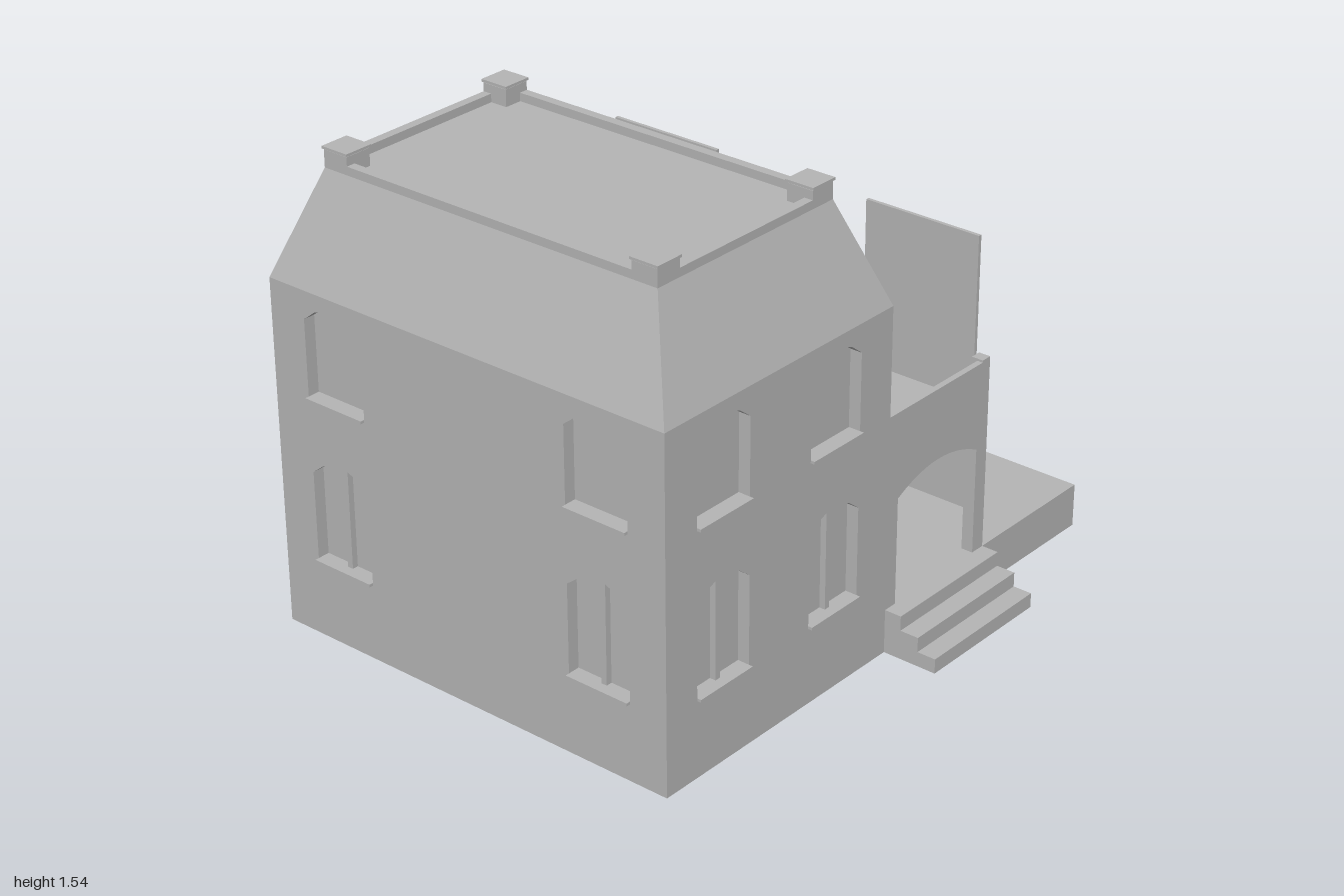
import * as THREE from 'three';

const stone = new THREE.MeshStandardMaterial({ color: 0xb4b4b4 });
stone.name = 'grey stone';

const T = 0.04; // wall thickness
const X0 = -0.83, X1 = 0.655, Z0 = -0.01, Z1 = 0.98, ZB = -0.5;
const EAVES = 1.14, TERRACE = 0.64, FLOOR = 0.145;

// Box given by its two extreme corners
function block(parent, name, x0, x1, y0, y1, z0, z1) {
  const mesh = new THREE.Mesh(new THREE.BoxGeometry(x1 - x0, y1 - y0, z1 - z0), stone);
  mesh.position.set((x0 + x1) / 2, (y0 + y1) / 2, (z0 + z1) / 2);
  mesh.name = name;
  parent.add(mesh);
  return mesh;
}

// Opening with a shallow arched head
function archPath(o) {
  const path = new THREE.Path();
  path.moveTo(o.u - o.w / 2, o.y0);
  path.lineTo(o.u + o.w / 2, o.y0);
  for (let i = 0; i <= o.seg; i++) {
    const s = 1 - (2 * i) / o.seg;
    path.lineTo(o.u + (s * o.w) / 2, o.y1 - o.rise * s * s);
  }
  path.closePath();
  return path;
}

// Wall with openings; its outer face lies on local z = 0 and u runs along local x
function wall(parent, name, u0, u1, h, openings, x, z, angle) {
  const group = new THREE.Group();
  group.name = name;
  const shape = new THREE.Shape([[u0, 0], [u1, 0], [u1, h], [u0, h]].map((p) => new THREE.Vector2(...p)));
  openings.forEach((o) => shape.holes.push(archPath(o)));
  const geo = new THREE.ExtrudeGeometry(shape, { depth: T, bevelEnabled: false });
  geo.translate(0, 0, -T);
  const mesh = new THREE.Mesh(geo, stone);
  mesh.name = name + ' masonry';
  group.add(mesh);
  for (const o of openings) {
    if (o.sill) block(group, 'window sill', o.u - o.w / 2, o.u + o.w / 2, o.y0 - 0.004, o.y0 + 0.005, -T, o.sill);
    if (o.mullion) block(group, 'window mullion', o.u - 0.01, o.u + 0.01, o.y0, o.y1 - 0.001, -T, -0.02);
  }
  group.position.set(x, 0, z);
  group.rotation.y = angle;
  parent.add(group);
}

const upper = (u) => ({ u, w: 0.225, y0: 0.795, y1: 1.103, rise: 0.055, seg: 5, sill: 0.014 });
const lower = (u) => ({ u, w: 0.225, y0: 0.257, y1: 0.607, rise: 0.055, seg: 5, sill: 0.014, mullion: true });
const plain = (u, w, y0, y1, rise, seg) => ({ u, w, y0, y1, rise, seg });

export function createModel() {
  const model = new THREE.Group();
  model.name = 'townhouse';
  const H = Math.PI / 2;

  // Main house walls around a core that closes the window recesses
  const house = new THREE.Group();
  house.name = 'main house';
  model.add(house);
  block(house, 'window backing', X0 + T, X1 - T, 0, EAVES, Z0 + T, Z1 - T);
  wall(house, 'front wall', X0, X1, EAVES,
    [-0.583, 0.411].flatMap((u) => [upper(u), lower(u)]), 0, Z1, 0);
  wall(house, 'back wall', -X1, -X0, EAVES,
    [upper(-0.411), upper(0.583), plain(0.09, 0.225, TERRACE + 0.005, 1.103, 0.055, 5)], 0, Z0, Math.PI);
  const sideZ = [0.245, 0.737];
  wall(house, 'left wall', -Z1 + T, -Z0 - T, EAVES,
    sideZ.flatMap((z) => [upper(-z), lower(-z)]), X1, 0, H);
  wall(house, 'right wall', Z0 + T, Z1 - T, EAVES,
    sideZ.flatMap((z) => [upper(z), lower(z)]), X0, 0, -H);

  // Mansard roof: a box whose top corners are drawn inward
  const RX0 = -0.705, RX1 = 0.53, RZ0 = 0.115, RZ1 = 0.857, RY = 1.475;
  const roof = block(house, 'mansard roof', X0, X1, EAVES, RY, Z0, Z1);
  const pos = roof.geometry.attributes.position;
  for (let i = 0; i < pos.count; i++) {
    if (pos.getY(i) < 0) continue;
    pos.setX(i, (pos.getX(i) < 0 ? RX0 : RX1) - roof.position.x);
    pos.setZ(i, (pos.getZ(i) < 0 ? RZ0 : RZ1) - roof.position.z);
  }
  roof.geometry.computeVertexNormals();

  // Roof curb and capped corner posts
  for (const z of [RZ0, RZ1 - 0.03]) block(house, 'roof curb', RX0 + 0.03, RX1 - 0.03, RY - 0.01, 1.502, z, z + 0.03);
  for (const x of [RX0, RX1 - 0.03]) block(house, 'roof curb', x, x + 0.03, RY - 0.01, 1.502, RZ0, RZ1);
  for (const x of [RX0, RX1 - 0.09]) {
    for (const z of [RZ0, RZ1 - 0.09]) {
      block(house, 'roof post', x, x + 0.09, RY - 0.01, 1.53, z, z + 0.09);
      block(house, 'roof post cap', x - 0.004, x + 0.094, 1.533, 1.541, z - 0.004, z + 0.094);
      block(house, 'roof post neck', x + 0.01, x + 0.08, 1.53, 1.533, z + 0.01, z + 0.08);
    }
  }

  // Rear extension: a closed room beside an open porch
  const rear = new THREE.Group();
  rear.name = 'rear extension';
  model.add(rear);
  const PX = -0.085; // wall between room and porch
  const bay = { ...plain(0.463, 0.645, 0.245, 0.55, 0.07, 14), sill: 0.03 };
  wall(rear, 'extension back wall', -X1, -X0, TERRACE,
    [bay, plain(-0.283, 0.665, FLOOR, 0.55, 0.065, 14)], 0, ZB, Math.PI);
  wall(rear, 'porch side wall', -Z0, -ZB - T, TERRACE,
    [plain(0.253, 0.39, FLOOR, 0.55, 0.05, 12)], X1, 0, H);
  wall(rear, 'extension right wall', ZB + T, Z0, TERRACE, [lower(-0.26)], X0, 0, -H);
  block(rear, 'room core', X0 + T, PX, 0, 0.6, ZB + T, Z0);
  block(rear, 'terrace floor', X0 + T, X1 - T, 0.59, TERRACE, ZB + T, Z0);
  block(rear, 'porch floor', PX, X1 - T, 0, FLOOR, ZB + T, Z0);
  block(rear, 'rear platform', PX, X1, 0, FLOOR, -1, ZB);

  // Porch door with knob
  block(rear, 'porch door', PX, PX + 0.008, FLOOR, 0.57, -0.38, -0.13);
  const knob = new THREE.Mesh(new THREE.SphereGeometry(0.007, 10, 8), stone);
  knob.name = 'door knob';
  knob.position.set(PX + 0.014, 0.345, -0.342);
  rear.add(knob);

  // Entrance steps
  [0.713, 0.777, 0.841].forEach((x, i) => {
    block(rear, 'entrance step', i ? [0.713, 0.777][i - 1] : X1, x, 0, FLOOR * (3 - i) / 3, ZB, Z0);
  });

  // Terrace posts, rails and tall screens that drop behind the rear openings
  const posts = [X0, -0.377, 0.163, X1 - T];
  for (const x of posts) block(rear, 'terrace post', x, x + T, TERRACE, 0.792, ZB, ZB + 0.037);
  block(rear, 'rear rail', posts[1] + T, posts[2], TERRACE, 0.775, ZB + 0.01, ZB + 0.025);
  for (const x of [X0, X1 - 0.02]) block(rear, 'side rail', x, x + 0.02, TERRACE, 0.785, ZB + 0.037, Z0);
  for (const i of [0, 2]) block(rear, 'tall screen', posts[i] + T, posts[i + 1], 0.27, 1.18, -0.487, -0.475);

  return model;
}
